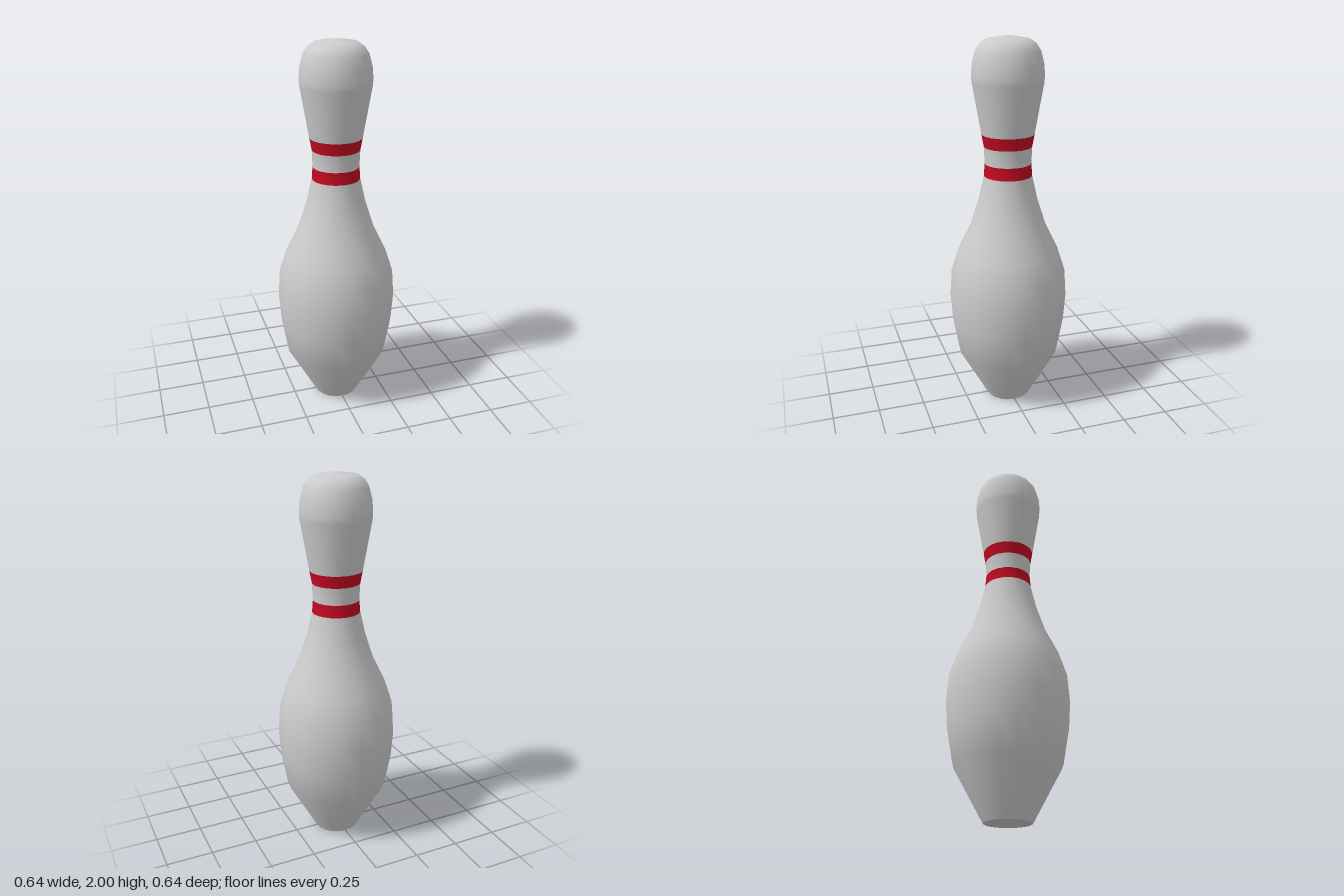
import * as THREE from 'three';

const SIDES = 20;

// Silhouette from the base up to the crown: [radius, height]
const PROFILE = [
  [0.122, 0], [0.277, 0.28], [0.31, 0.46], [0.32, 0.6], [0.31, 0.75],
  [0.268, 0.88], [0.2, 1.02], [0.155, 1.16], [0.127, 1.285], [0.122, 1.35],
  [0.126, 1.44], [0.138, 1.505], [0.184, 1.77], [0.186, 1.8], [0.182, 1.86],
  [0.165, 1.925], [0.142, 1.96], [0.11, 1.983], [0, 2],
];

// Keep only the profile rows from..to of the full lathe, so normals stay continuous across parts
function rows(lathe, from, to) {
  const perSide = PROFILE.length - 1;
  const source = lathe.index.array;
  const index = [];
  for (let side = 0; side < SIDES; side++) {
    for (let row = from; row < to; row++) {
      const start = (side * perSide + row) * 6;
      index.push(...source.slice(start, start + 6));
    }
  }
  return lathe.clone().setIndex(index).toNonIndexed();
}

export function createModel() {
  const model = new THREE.Group();
  model.name = 'bowlingPin';
  const grey = new THREE.MeshStandardMaterial({ color: 0xcccccc });
  const red = new THREE.MeshStandardMaterial({ color: 0xc00a20 });

  const lathe = new THREE.LatheGeometry(PROFILE.map(([r, y]) => new THREE.Vector2(r, y)), SIDES);

  // Turned body with two painted stripes around the neck
  const parts = [
    ['belly', 0, 8, grey],
    ['lowerStripe', 8, 9, red],
    ['neck', 9, 10, grey],
    ['upperStripe', 10, 11, red],
    ['head', 11, PROFILE.length - 1, grey],
  ];
  for (const [name, from, to, material] of parts) {
    const mesh = new THREE.Mesh(rows(lathe, from, to), material);
    mesh.name = name;
    model.add(mesh);
  }

  // Flat underside
  const base = new THREE.Mesh(new THREE.CircleGeometry(PROFILE[0][0], SIDES), grey);
  base.name = 'base';
  base.rotation.x = Math.PI / 2;
  model.add(base);

  return model;
}
